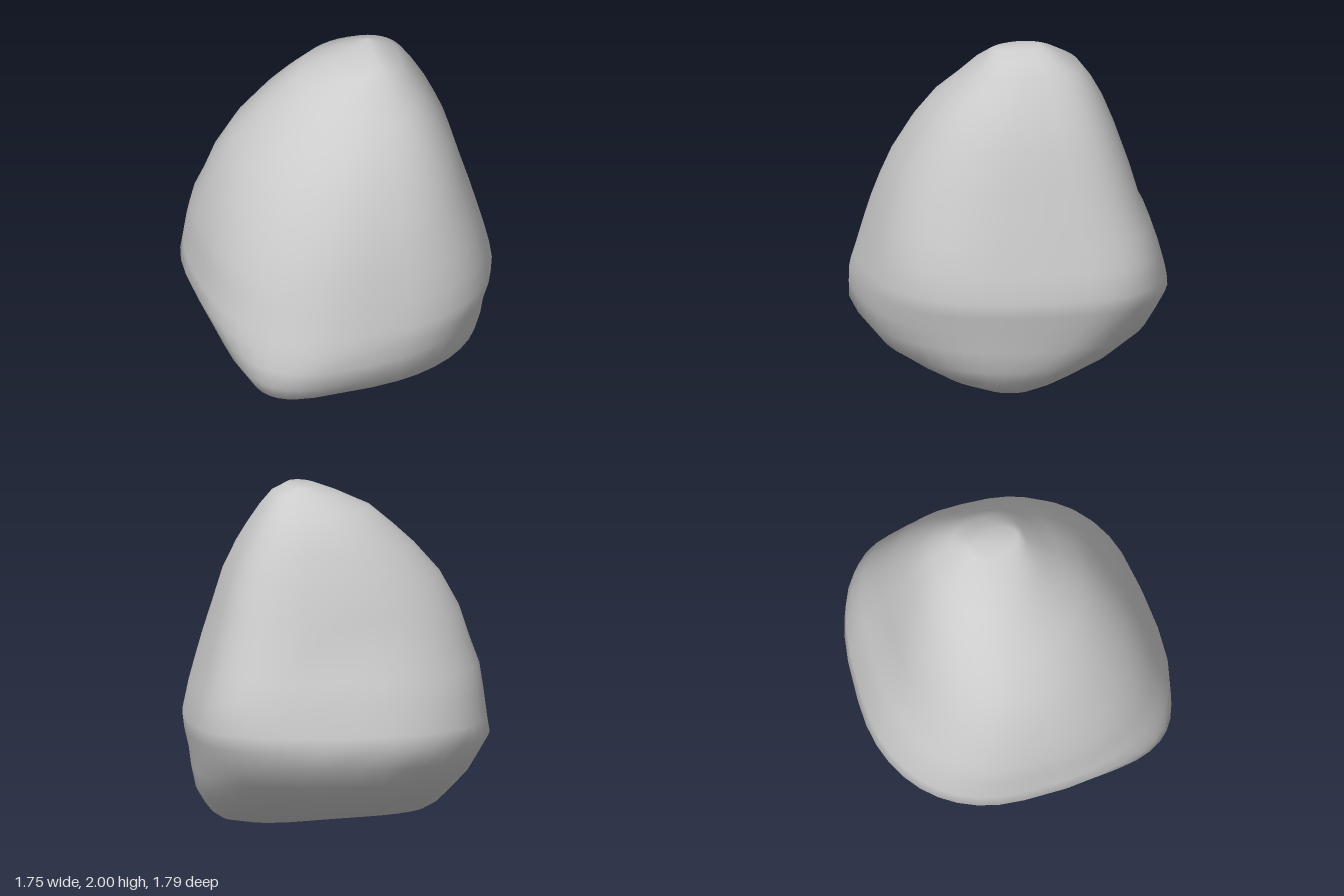
import * as THREE from 'three';

// Horizontal sections: [y, xMin, xMax, zBack, zFront, xCentre, zCentre]
const LEVELS = [
  [0.005, 0.12, 0.50, -0.04, 0.16, 0.32, 0.06],
  [0.03, -0.12, 0.64, -0.14, 0.30, 0.25, 0.06],
  [0.07, -0.54, 0.70, -0.30, 0.50, 0.10, 0.05],
  [0.12, -0.61, 0.74, -0.43, 0.62, 0.05, 0.03],
  [0.20, -0.67, 0.79, -0.61, 0.77, 0.0, 0.0],
  [0.33, -0.765, 0.82, -0.79, 0.88, -0.04, -0.06],
  [0.44, -0.82, 0.835, -0.85, 0.89, -0.05, -0.1],
  [0.55, -0.875, 0.86, -0.90, 0.895, -0.05, -0.13],
  [0.64, -0.86, 0.87, -0.88, 0.87, -0.04, -0.13],
  [0.80, -0.84, 0.83, -0.835, 0.83, -0.02, -0.12],
  [0.95, -0.82, 0.79, -0.785, 0.79, 0.0, -0.1],
  [1.10, -0.765, 0.75, -0.725, 0.745, 0.02, -0.1],
  [1.27, -0.71, 0.70, -0.67, 0.68, 0.04, -0.1],
  [1.47, -0.60, 0.645, -0.60, 0.575, 0.07, -0.1],
  [1.64, -0.45, 0.57, -0.53, 0.46, 0.1, -0.1],
  [1.75, -0.33, 0.51, -0.47, 0.345, 0.13, -0.1],
  [1.86, -0.20, 0.44, -0.39, 0.24, 0.16, -0.1],
  [1.94, -0.02, 0.37, -0.27, 0.16, 0.19, -0.08],
  [1.98, 0.10, 0.28, -0.20, 0.12, 0.2, -0.06],
];
const SIDES = 40;

// Squareness of each corner at these heights (left is +x)
const HEIGHTS = [0.17, 0.36, 0.55, 0.8, 1.2, 1.8];
const CORNERS = {
  frontLeft: [2.3, 2.4, 2.7, 2.9, 2.7, 2.4],
  frontRight: [6.0, 3.7, 2.65, 2.5, 2.2, 1.9],
  backLeft: [2.4, 2.6, 2.9, 3.5, 3.3, 2.6],
  backRight: [2.0, 2.1, 2.2, 2.3, 2.2, 2.0],
};

function squareness(y, c, s) {
  const table = CORNERS[(s >= 0 ? 'front' : 'back') + (c >= 0 ? 'Left' : 'Right')];
  let i = 0;
  while (i < HEIGHTS.length - 2 && y > HEIGHTS[i + 1]) i++;
  const f = THREE.MathUtils.clamp((y - HEIGHTS[i]) / (HEIGHTS[i + 1] - HEIGHTS[i]), 0, 1);
  return THREE.MathUtils.lerp(table[i], table[i + 1], f);
}

function sectionPoint([y, x0, x1, z0, z1, cx, cz], t) {
  const c = Math.cos(t), s = Math.sin(t), power = 2 / squareness(y, c, s);
  const x = cx + Math.abs(c) ** power * (c >= 0 ? x1 - cx : x0 - cx);
  let z = cz + Math.abs(s) ** power * (s >= 0 ? z1 - cz : z0 - cz);
  // the front face turns away towards +x, more so near the base
  const turn = THREE.MathUtils.lerp(0.12, 0.05, THREE.MathUtils.smoothstep(y, 0.4, 0.8));
  if (z > 0) z *= 1 - turn * Math.max(0, x + 0.2);
  // shallow chipped hollow on the back
  if (z < -0.3) z += 0.02 * Math.exp(-(((x + 0.03) / 0.25) ** 2) - ((y - 1.1) / 0.1) ** 2);
  return [x, y, z];
}

function stoneGeometry() {
  const positions = [], index = [];
  for (const level of LEVELS) {
    for (let j = 0; j < SIDES; j++) positions.push(...sectionPoint(level, (j / SIDES) * Math.PI * 2));
  }
  const rows = LEVELS.length;
  const bottom = rows * SIDES, top = bottom + 1;
  positions.push(0.36, 0, 0.06, 0.21, 2, -0.15);

  for (let j = 0; j < SIDES; j++) {
    const k = (j + 1) % SIDES;
    for (let i = 0; i < rows - 1; i++) {
      const a = i * SIDES + j, b = i * SIDES + k;
      index.push(a, a + SIDES, b, b, a + SIDES, b + SIDES);
    }
    // close the underside and the crown
    const last = (rows - 1) * SIDES;
    index.push(bottom, j, k, top, last + k, last + j);
  }
  const geometry = new THREE.BufferGeometry();
  geometry.setAttribute('position', new THREE.Float32BufferAttribute(positions, 3));
  geometry.setIndex(index);
  geometry.computeVertexNormals();
  return geometry;
}

export function createModel() {
  const group = new THREE.Group();
  group.name = 'boulder';
  const stone = new THREE.Mesh(
    stoneGeometry(),
    new THREE.MeshStandardMaterial({ color: 0xcccccc })
  );
  stone.name = 'stone';
  group.add(stone);
  return group;
}
